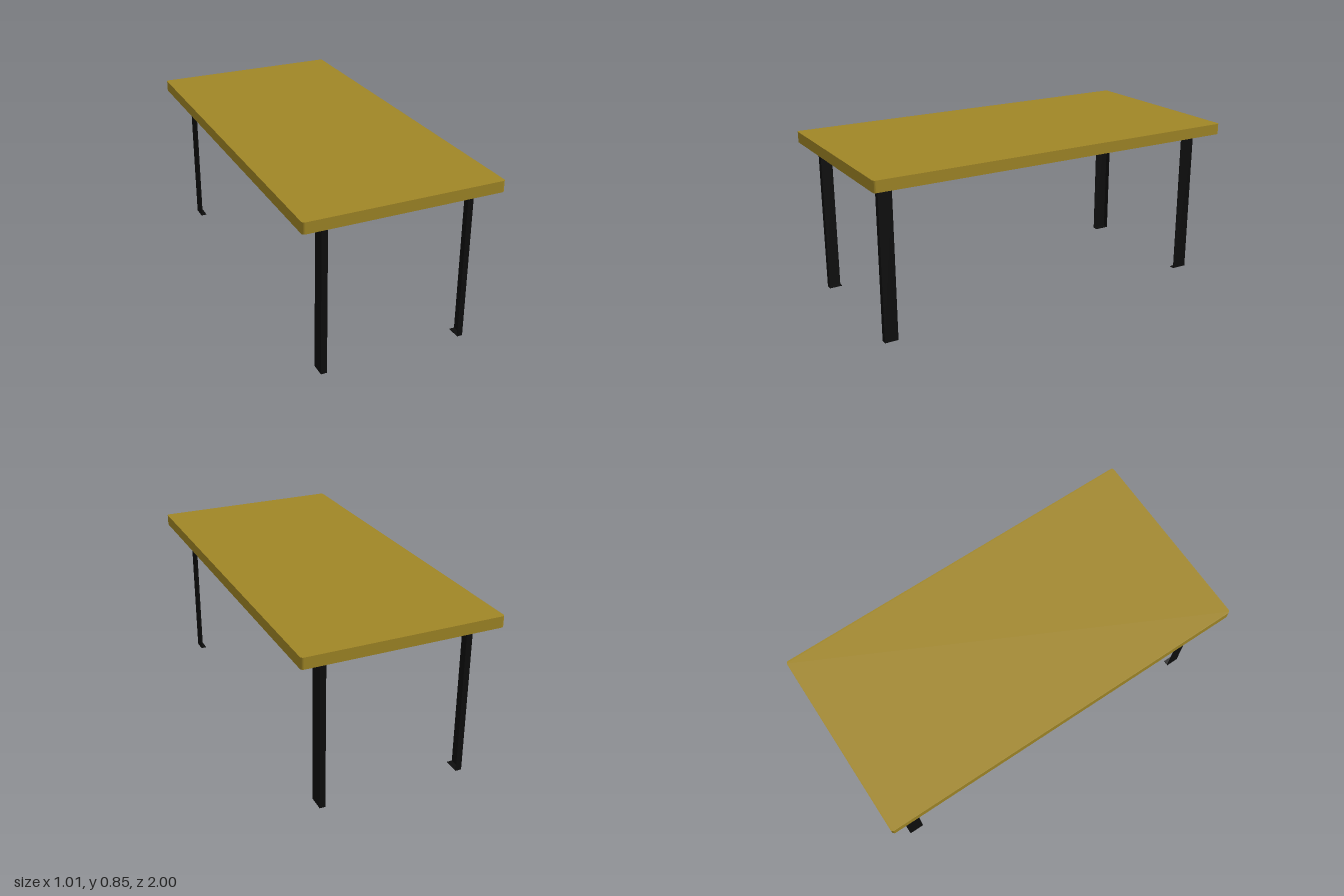
import * as THREE from 'three';

const wood = new THREE.MeshStandardMaterial({ color: 0xa08626 });
const black = new THREE.MeshStandardMaterial({ color: 0x0d0d0d, flatShading: true, side: THREE.DoubleSide });

// Footprint limits of the steel frame, [min, max]
const OUT_X = [-0.387, 0.385], OUT_Z = [-0.927, 0.933];
const IN_X = [-0.356, 0.356], IN_Z = [-0.845, 0.863];
const FRAME_BOTTOM = 0.756, FRAME_TOP = 0.79;

function addMesh(parent, name, geometry, material) {
  const mesh = new THREE.Mesh(geometry, material);
  mesh.name = name;
  parent.add(mesh);
  return mesh;
}

// Box given by its limits along each axis
function addBox(parent, name, x0, x1, y0, y1, z0, z1) {
  const geometry = new THREE.BoxGeometry(Math.abs(x1 - x0), y1 - y0, Math.abs(z1 - z0));
  addMesh(parent, name, geometry, black).position.set((x0 + x1) / 2, (y0 + y1) / 2, (z0 + z1) / 2);
}

// Slab with slightly rounded vertical corners
function tabletopGeometry(halfX, halfZ, y0, y1, r) {
  const s = new THREE.Shape();
  s.absarc(halfX - r, halfZ - r, r, 0, Math.PI / 2);
  s.absarc(-halfX + r, halfZ - r, r, Math.PI / 2, Math.PI);
  s.absarc(-halfX + r, -halfZ + r, r, Math.PI, Math.PI * 1.5);
  s.absarc(halfX - r, -halfZ + r, r, Math.PI * 1.5, Math.PI * 2);
  const geometry = new THREE.ExtrudeGeometry(s, { depth: y1 - y0, bevelEnabled: false, curveSegments: 4 });
  return geometry.rotateX(-Math.PI / 2).translate(0, y0, 0);
}

// Rectangular ring whose outer wall flares outwards to the top
function frameGeometry() {
  const loops = [
    [[-0.395, 0.393], FRAME_TOP, [-0.945, 0.953]],
    [OUT_X, FRAME_BOTTOM, OUT_Z],
    [IN_X, FRAME_BOTTOM, IN_Z],
    [IN_X, FRAME_TOP, IN_Z],
  ];
  const positions = [], index = [];
  for (const [x, y, z] of loops) {
    positions.push(x[0], y, z[0], x[0], y, z[1], x[1], y, z[1], x[1], y, z[0]);
  }
  for (let i = 0; i < 4; i++) {
    for (let j = 0; j < 4; j++) {
      const a = i * 4 + j, b = i * 4 + (j + 1) % 4;
      const c = ((i + 1) % 4) * 4 + j, d = ((i + 1) % 4) * 4 + (j + 1) % 4;
      index.push(a, c, b, b, c, d);
    }
  }
  const indexed = new THREE.BufferGeometry();
  indexed.setAttribute('position', new THREE.Float32BufferAttribute(positions, 3));
  indexed.setIndex(index);
  const geometry = indexed.toNonIndexed();
  geometry.computeVertexNormals();
  return geometry;
}

export function createModel() {
  const table = new THREE.Group();
  table.name = 'table';

  addMesh(table, 'tabletop', tabletopGeometry(0.506, 1, 0.795, 0.852, 0.014), wood);
  addMesh(table, 'frame', frameGeometry(), black);

  // Angle-profile legs, open towards the inside, each closed by a foot plate
  const t = 0.003;
  for (const i of [0, 1]) {
    for (const k of [0, 1]) {
      const leg = new THREE.Group();
      leg.name = (k ? 'front' : 'back') + (i ? 'Left' : 'Right') + 'Leg';
      const inX = i ? -t : t, inZ = k ? -t : t;
      addBox(leg, 'sidePlate', OUT_X[i], OUT_X[i] + inX, 0, FRAME_BOTTOM, OUT_Z[k], IN_Z[k]);
      addBox(leg, 'endPlate', OUT_X[i] + inX, IN_X[i], 0, FRAME_BOTTOM, OUT_Z[k], OUT_Z[k] + inZ);
      addBox(leg, 'footPlate', OUT_X[i] + inX, IN_X[i], 0, t, OUT_Z[k] + inZ, IN_Z[k]);
      table.add(leg);
    }
  }
  return table;
}
